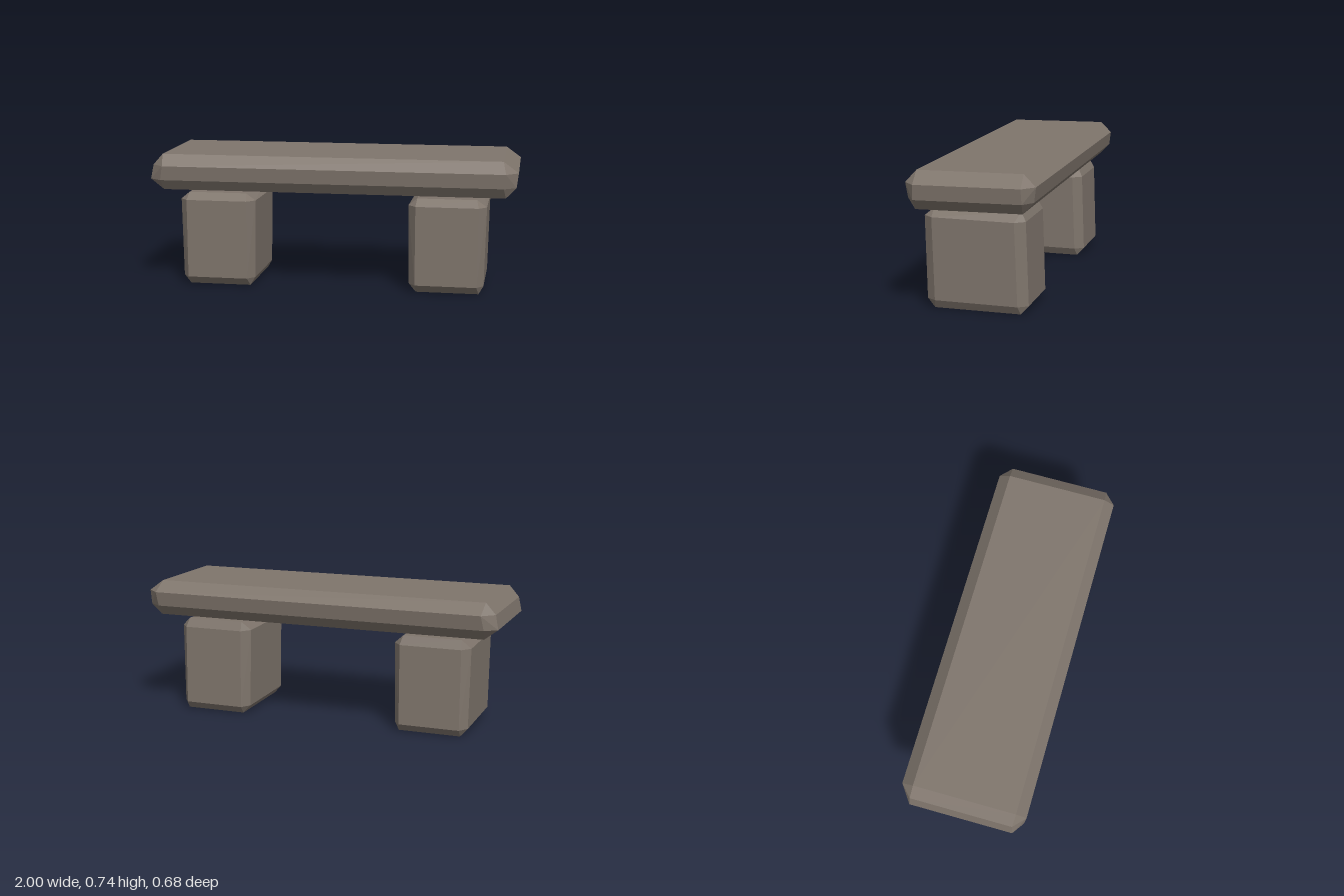
import * as THREE from 'three';
import { ConvexGeometry } from 'three/addons/geometries/ConvexGeometry.js';

// Rough-hewn block as the hull of stacked rings.
// Each ring: [y, left, right, back, front, cutX, cutZ, tilt]; cuts chamfer its upright corners,
// tilt raises y towards the back.
function hewnBlock(rings, skew = 0) {
  const points = [];
  for (const [y, left, right, back, front, cutX, cutZ, tilt = 0] of rings) {
    const add = (x, z) => points.push(new THREE.Vector3(x, y - tilt * z, z - skew * x));
    for (const [x, sx] of [[left, 1], [right, -1]]) {
      for (const [z, sz] of [[back, 1], [front, -1]]) {
        if (!cutX) { add(x, z); continue; }
        add(x, z + sz * cutZ);
        add(x + sx * cutX, z);
      }
    }
  }
  return new ConvexGeometry(points);
}

export function createModel() {
  const group = new THREE.Group();
  group.name = 'stoneBench';
  const stone = new THREE.MeshStandardMaterial({ color: 0x7f756c });
  stone.name = 'weathered stone';

  // Seat slab with bevelled edges and corners
  const seat = new THREE.Mesh(hewnBlock([
    [0.544, -0.925, 0.935, -0.27, 0.28, 0, 0, 0.009],
    [0.601, -1.0, 0.99, -0.325, 0.32, 0.065, 0.045, 0.011],
    [0.679, -0.985, 1.0, -0.337, 0.33, 0.065, 0.06, 0.011],
    [0.739, -0.93, 0.92, -0.272, 0.276, 0, 0, 0.009],
  ], 0.005), stone);
  seat.name = 'seat';
  group.add(seat);

  // Two identical supporting blocks
  const legGeometry = hewnBlock([
    [0.002, -0.168, 0.172, -0.228, 0.225, 0, 0, -0.005],
    [0.046, -0.207, 0.198, -0.268, 0.268, 0.036, 0.05, -0.008],
    [0.48, -0.212, 0.208, -0.253, 0.277, 0.042, 0.05, -0.01],
    [0.523, -0.165, 0.155, -0.228, 0.23, 0, 0, 0.011],
  ]);
  for (const [name, x] of [['rightLeg', -0.633], ['leftLeg', 0.629]]) {
    const leg = new THREE.Mesh(legGeometry, stone);
    leg.name = name;
    leg.position.x = x;
    group.add(leg);
  }
  return group;
}
